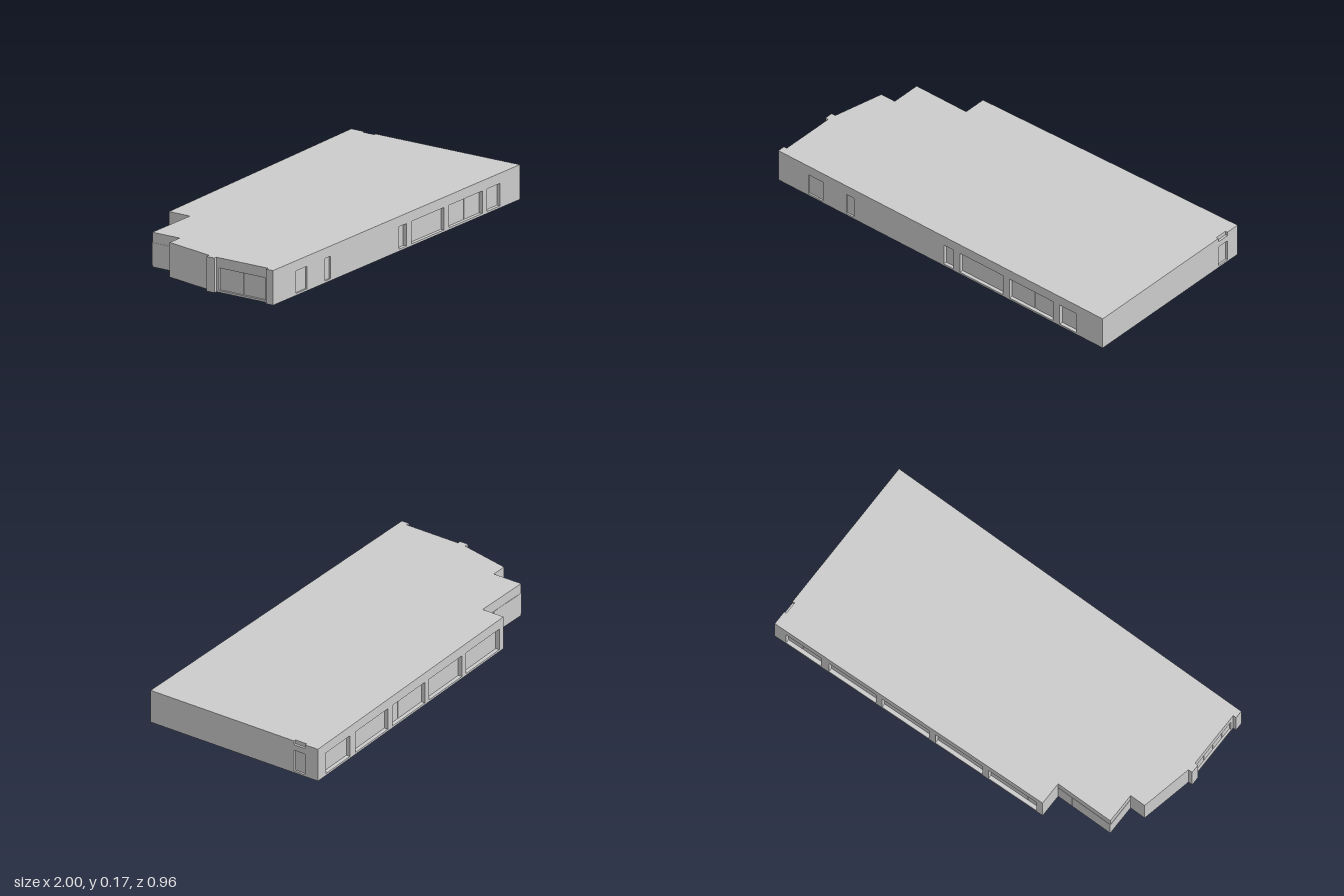
import * as THREE from 'three';

// Footprint corners [x, z], counter-clockwise seen from above
const corners = [
  [-1, 0.48], [1, 0.48], [1, -0.483], [-0.535, -0.442], [-0.535, -0.322], [-0.84, -0.322], [-0.84, -0.165],
  [-0.922, -0.165], [-0.978, 0.1], [-1, 0.1], [-1, 0.145], [-0.983, 0.145], [-0.983, 0.44], [-1, 0.44],
];

// Openings: wall index, start and end along that wall, recess depth, divisions between panes
const openings = [
  { name: 'frontDoor', wall: 0, from: 0.185, to: 0.275, depth: 0.01 },
  { name: 'frontNarrowDoor', wall: 0, from: 0.42, to: 0.465, depth: 0.01 },
  { name: 'frontWindow', wall: 0, from: 1.02, to: 1.08, depth: 0.02 },
  { name: 'frontWindow', wall: 0, from: 1.12, to: 1.385, depth: 0.02, splits: [1.265] },
  { name: 'frontWindow', wall: 0, from: 1.425, to: 1.695, depth: 0.02, splits: [1.57] },
  { name: 'frontWindow', wall: 0, from: 1.735, to: 1.84, depth: 0.02, splits: [1.79] },
  { name: 'sideDoor', wall: 1, from: 0.825, to: 0.89, depth: 0.012 },
  { name: 'backWindow', wall: 2, from: 0.065, to: 0.265, depth: 0.022, splits: [0.15] },
  { name: 'backWindow', wall: 2, from: 0.31, to: 0.58, depth: 0.022 },
  { name: 'backWindow', wall: 2, from: 0.615, to: 0.885, depth: 0.022, splits: [0.69, 0.765] },
  { name: 'backWindow', wall: 2, from: 0.92, to: 1.19, depth: 0.022 },
  { name: 'backWindow', wall: 2, from: 1.225, to: 1.5, depth: 0.022, splits: [1.44] },
  { name: 'cornerGlass', wall: 4, from: 0.003, to: 0.305, depth: 0, splits: [0.085] },
  { name: 'cornerGlass', wall: 5, from: 0, to: 0.155, depth: 0 },
  { name: 'entranceWindow', wall: 11, from: 0.015, to: 0.28, depth: 0.012, splits: [0.08, 0.15, 0.22] },
];

const SILL = 0.01, HEAD = 0.12, PARAPET = 0.15, TOP = 0.17;

// Start point, unit direction and inward normal of a wall
function wallFrame(i) {
  const a = new THREE.Vector2(...corners[i]);
  const dir = new THREE.Vector2(...corners[(i + 1) % corners.length]).sub(a).normalize();
  return { a, dir, inward: new THREE.Vector2(dir.y, -dir.x) };
}

function pointOn(frame, along, depth) {
  return frame.a.clone().addScaledVector(frame.dir, along).addScaledVector(frame.inward, depth);
}

// One storey layer: the footprint with recesses cut into its walls
function layer(name, y0, y1, cuts, material) {
  const points = [];
  corners.forEach((c, i) => {
    const frame = wallFrame(i);
    points.push(frame.a);
    cuts.filter((o) => o.wall === i && o.depth > 0).forEach((o) => {
      points.push(pointOn(frame, o.from, 0), pointOn(frame, o.from, o.depth),
        pointOn(frame, o.to, o.depth), pointOn(frame, o.to, 0));
    });
  });
  const shape = new THREE.Shape(points.map((p) => new THREE.Vector2(p.x, -p.y)));
  const geometry = new THREE.ExtrudeGeometry(shape, { depth: y1 - y0, bevelEnabled: false });
  geometry.rotateX(-Math.PI / 2).translate(0, y0, 0);
  const mesh = new THREE.Mesh(geometry, material);
  mesh.name = name;
  return mesh;
}

// Panes standing at the back of an opening, with narrow gaps as mullions
function panes(o, material) {
  const group = new THREE.Group();
  group.name = o.name;
  const frame = wallFrame(o.wall);
  const stops = [o.from, ...(o.splits || []), o.to];
  const gap = 0.002;
  for (let i = 0; i < stops.length - 1; i++) {
    const start = stops[i] + (i > 0 ? gap : 0);
    const end = stops[i + 1] - (i < stops.length - 2 ? gap : 0);
    const pane = new THREE.Mesh(new THREE.BoxGeometry(end - start, HEAD - SILL, 0.003), material);
    const p = pointOn(frame, (start + end) / 2, o.depth);
    pane.position.set(p.x, (SILL + HEAD) / 2, p.y);
    pane.rotation.y = Math.atan2(-frame.dir.y, frame.dir.x);
    pane.name = 'pane';
    group.add(pane);
  }
  return group;
}

export function createModel() {
  const model = new THREE.Group();
  model.name = 'building';
  const wall = new THREE.MeshStandardMaterial({ color: 0xcccccc });
  const glass = new THREE.MeshStandardMaterial({ color: 0xf0f0f0 });

  // Walls in layers: floor slab, storey with openings, lintel band, roof band
  model.add(layer('floorSlab', 0, SILL, [], wall));
  model.add(layer('walls', SILL, HEAD, openings, wall));
  model.add(layer('lintelBand', HEAD, PARAPET, [], wall));
  model.add(layer('roof', PARAPET, TOP, openings.filter((o) => o.name === 'sideDoor'), wall));

  // Doors and windows
  openings.forEach((o) => model.add(panes(o, glass)));
  return model;
}
